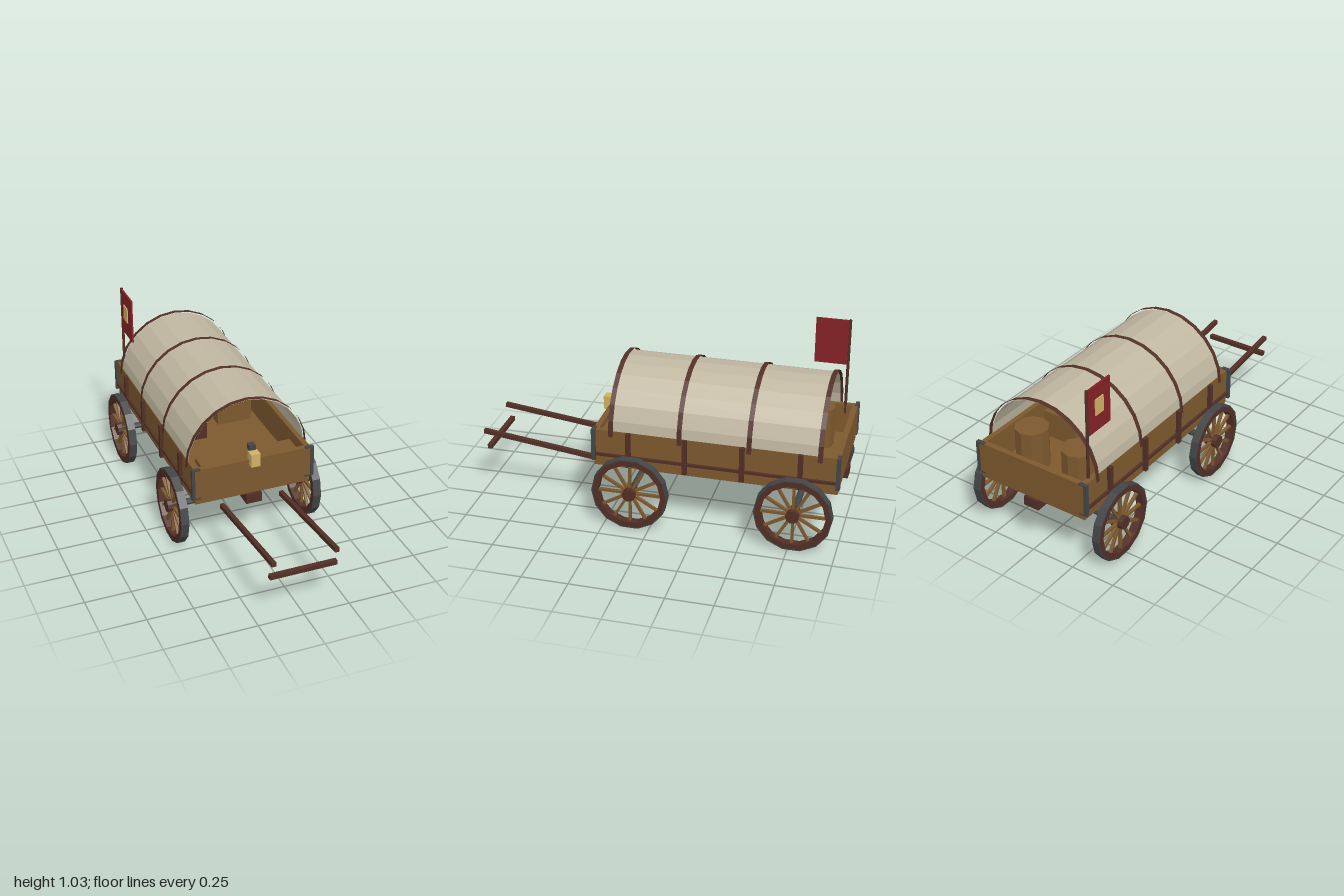
import * as THREE from 'three';

const mat = (name, color, side = THREE.FrontSide) => {
  const m = new THREE.MeshStandardMaterial({ color, side, flatShading: true });
  m.name = name;
  return m;
};

export function createModel() {
  const wood = mat('wood', 0x7d592e);
  const darkWood = mat('darkWood', 0x522f26);
  const iron = mat('iron', 0x434547);
  const canvasCloth = mat('canvasCloth', 0xc0b7a0, THREE.DoubleSide);
  const hoopWood = mat('hoopWood', 0x522f26, THREE.DoubleSide);
  const flagRed = mat('flagRed', 0x842325);
  const brass = mat('brass', 0xd2b062);

  const wagon = new THREE.Group();
  wagon.name = 'wagon';
  const add = (name, geo, material, x = 0, y = 0, z = 0, parent = wagon) => {
    const m = new THREE.Mesh(geo, material);
    m.name = name;
    m.position.set(x, y, z);
    parent.add(m);
    return m;
  };
  // Box given by its limits on each axis
  const box = (name, material, [x0, x1], [y0, y1], [z0, z1], parent) =>
    add(name, new THREE.BoxGeometry(x1 - x0, y1 - y0, z1 - z0), material,
      (x0 + x1) / 2, (y0 + y1) / 2, (z0 + z1) / 2, parent);

  // Wagon bed
  box('floor', wood, [-0.325, 0.325], [0.32, 0.36], [-0.985, 0.315]);
  box('frontBoard', wood, [-0.33, 0.33], [0.36, 0.53], [0.29, 0.32]);
  box('tailgate', wood, [-0.33, 0.33], [0.36, 0.53], [-0.99, -0.96]);
  box('chassisBeam', darkWood, [-0.045, 0.045], [0.268, 0.322], [-1, 0.335]);
  box('seat', wood, [-0.27, 0.27], [0.485, 0.51], [0.17, 0.285]);

  for (const s of [-1, 1]) {
    const sx = (a, b) => (s > 0 ? [a, b] : [-b, -a]);
    box('sideBoard', wood, sx(0.3, 0.33), [0.36, 0.53], [-0.96, 0.29]);
    box('sideRail', darkWood, sx(0.33, 0.343), [0.383, 0.398], [-0.985, 0.315]);
    for (let i = 0; i < 4; i++) {
      const z = 0.125 - i * 0.305;
      box('sideStake', darkWood, sx(0.33, 0.35), [0.335, 0.533], [z - 0.0125, z + 0.0125]);
    }
    // Iron corner posts with short straps
    for (const [z0, z1] of [[0.305, 0.326], [-0.996, -0.975]]) {
      box('cornerIron', iron, sx(0.328, 0.345), [0.355, 0.535], [z0, z1]);
      box('cornerStrap', iron, sx(0.297, 0.345), [0.528, 0.535], [z0, z1]);
      box('cornerStrap', iron, sx(0.297, 0.345), [0.354, 0.361], [z0, z1]);
    }
  }

  // Canvas cover: open half cylinder along z, with hoops over it
  const arch = (r, length) =>
    new THREE.CylinderGeometry(r, r, length, 12, 1, true, Math.PI / 2, Math.PI).rotateX(Math.PI / 2);
  add('canvasCover', arch(0.33, 1.11), canvasCloth, 0, 0.5, -0.335);
  for (let i = 0; i < 4; i++) add('hoop', arch(0.34, 0.026), hoopWood, 0, 0.5, 0.22 - i * 0.37);

  // Wheels: hub, spokes, wooden rim and iron tyre, built around the x axis
  const SIDES = 14;
  const ringShape = (outer, inner) => {
    const ring = (r) => Array.from({ length: SIDES }, (_, i) => {
      const a = ((i + 0.5) / SIDES) * Math.PI * 2 - Math.PI / 2;
      return new THREE.Vector2(Math.cos(a) * r, Math.sin(a) * r);
    });
    const shape = new THREE.Shape(ring(outer));
    shape.holes.push(new THREE.Path(ring(inner).reverse()));
    return shape;
  };
  const ringGeo = (outer, inner, width) =>
    new THREE.ExtrudeGeometry(ringShape(outer, inner), { depth: width, bevelEnabled: false })
      .translate(0, 0, -width / 2).rotateY(Math.PI / 2);
  const rimGeo = ringGeo(0.202, 0.172, 0.045);
  const tyreGeo = ringGeo(0.208, 0.201, 0.044);
  const hubGeo = new THREE.CylinderGeometry(0.036, 0.036, 0.07, 10).rotateZ(Math.PI / 2);
  const spokeGeo = new THREE.BoxGeometry(0.016, 0.15, 0.014).translate(0, 0.105, 0);
  for (const z of [0.105, -0.77]) {
    add('axle', new THREE.CylinderGeometry(0.018, 0.018, 0.72, 8).rotateZ(Math.PI / 2), iron, 0, 0.205, z);
    for (const s of [-1, 1]) {
      const wheel = new THREE.Group();
      wheel.name = 'wheel';
      wheel.position.set(s * 0.381, 0.205, z);
      wagon.add(wheel);
      add('rim', rimGeo, darkWood, 0, 0, 0, wheel);
      add('tyre', tyreGeo, iron, 0, 0, 0, wheel);
      add('hub', hubGeo, darkWood, 0, 0, 0, wheel);
      for (let i = 0; i < 12; i++)
        add('spoke', spokeGeo, wood, 0, 0, 0, wheel).rotation.x = (i * Math.PI) / 6;
    }
  }

  // Draught shafts, rising towards the front, and the loose crossbar
  const rise = 0.085, run = 0.7;
  for (const s of [-1, 1]) {
    const shaft = add('shaft', new THREE.BoxGeometry(0.024, 0.024, Math.hypot(rise, run)),
      darkWood, s * 0.17, 0.31, 0.649);
    shaft.rotation.x = -Math.atan2(rise, run);
  }
  box('crossbar', darkWood, [-0.182, 0.182], [0.25, 0.275], [0.957, 0.982]);

  // Cargo
  for (const [x, z] of [[-0.155, -0.8], [0.155, -0.78]])
    add('barrel', new THREE.CylinderGeometry(0.09, 0.09, 0.22, 10), wood, x, 0.47, z);
  box('crate', wood, [0.06, 0.26], [0.36, 0.51], [-0.55, -0.35]);
  box('chest', darkWood, [-0.25, -0.05], [0.36, 0.5], [-0.42, -0.24]);

  // Lantern on the front board
  box('lanternGlass', brass, [-0.026, 0.026], [0.5, 0.575], [0.302, 0.352]);
  box('lanternCap', iron, [-0.018, 0.018], [0.573, 0.605], [0.27, 0.306]);

  // Flag on its pole at the rear
  add('flagPole', new THREE.CylinderGeometry(0.008, 0.008, 0.55, 6), darkWood, -0.305, 0.753, -0.922);
  box('flag', flagRed, [-0.31, -0.3], [0.768, 1.024], [-0.925, -0.74]);
  box('flagPatch', brass, [-0.316, -0.31], [0.86, 0.95], [-0.865, -0.8]);

  return wagon;
}
